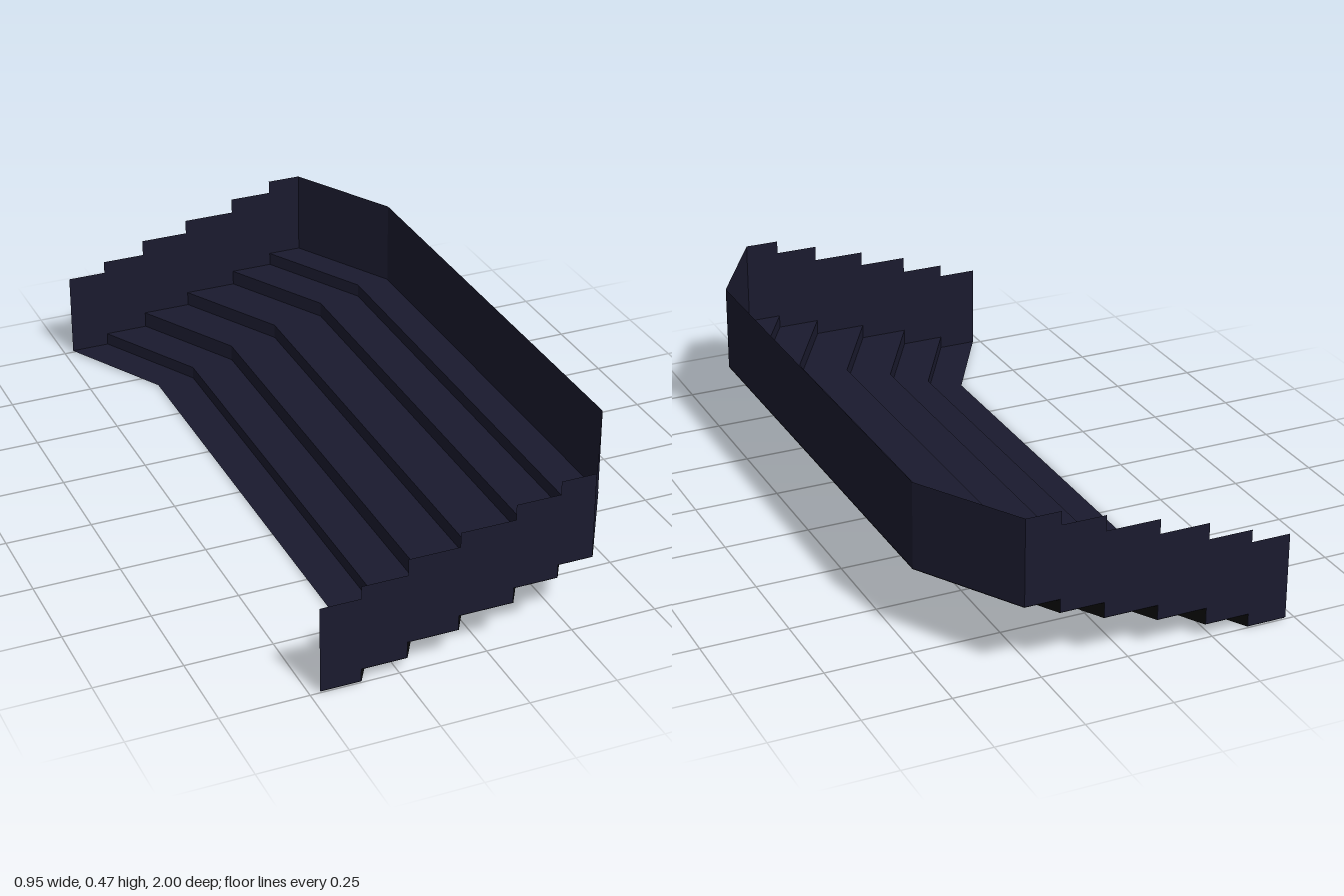
import * as THREE from 'three';

export function createModel() {
  const group = new THREE.Group();
  const makePaint = (color, name) => {
    const material = new THREE.MeshStandardMaterial({ color, side: THREE.DoubleSide });
    material.name = name;
    return material;
  };
  const navy = makePaint(0x1a1a2e, 'dark navy');
  const black = makePaint(0x0a0a0a, 'near black');

  // Tier edges and floor heights, measured at the end walls
  const xs = [-0.473, -0.358, -0.229, -0.084, 0.072, 0.199, 0.3];
  const ys = [0.005, 0.042, 0.09, 0.133, 0.178, 0.217];
  const wallHeight = 0.252;
  const skin = 0.001; // gap between floor and its dark underside

  // Bent plan: stations along z with sideways shift and slight sag
  const stations = [
    { z: 1, dx: 0, dy: 0 },
    { z: 0.71, dx: 0.173, dy: -0.004 },
    { z: -0.69, dx: 0.173, dy: -0.004 },
    { z: -1, dx: 0, dy: 0 },
  ];

  const add = (geometry, name, material) => {
    const mesh = new THREE.Mesh(geometry, material);
    mesh.name = name;
    group.add(mesh);
    return mesh;
  };

  // Sheet swept through the stations between two profile points
  const strip = (x0, y0, x1, y1, name, material) => {
    const pos = [];
    for (let i = 0; i < stations.length - 1; i++) {
      const corner = (s, x, y) => [x + s.dx, y + s.dy, s.z];
      const a = corner(stations[i], x0, y0), b = corner(stations[i], x1, y1);
      const c = corner(stations[i + 1], x1, y1), d = corner(stations[i + 1], x0, y0);
      pos.push(...a, ...b, ...c, ...a, ...c, ...d);
    }
    const geometry = new THREE.BufferGeometry();
    geometry.setAttribute('position', new THREE.Float32BufferAttribute(pos, 3));
    geometry.computeVertexNormals();
    return add(geometry, name, material);
  };

  // Floor sheet with a dark sheet just behind and below it; corners reversed to face outward
  const floor = (x0, y0, x1, y1, name) => {
    strip(x0, y0, x1, y1, name, navy);
    strip(x1 + skin, y1 - skin, x0 + skin, y0 - skin, `${name}Underside`, black);
  };

  // Treads and risers
  ys.forEach((y, i) => {
    floor(xs[i], y, xs[i + 1], y, `tread${i + 1}`);
    if (i > 0) floor(xs[i], ys[i - 1], xs[i], y, `riser${i}`);
  });

  // Back wall
  strip(xs[6], ys[5], xs[6], ys[5] + wallHeight, 'backWall', navy);

  // Stepped end walls
  const outline = [];
  ys.forEach((y, i) => outline.push([xs[i], y], [xs[i + 1], y]));
  const upper = outline.map(([x, y]) => [x, y + wallHeight]).reverse();
  const shape = new THREE.Shape([...outline, ...upper].map(([x, y]) => new THREE.Vector2(x, y)));
  add(new THREE.ShapeGeometry(shape), 'frontEndWall', navy).position.z = 1;
  const rear = new THREE.ShapeGeometry(shape);
  rear.setIndex([...rear.index.array].reverse());
  rear.computeVertexNormals();
  add(rear, 'rearEndWall', navy).position.z = -1;

  return group;
}
